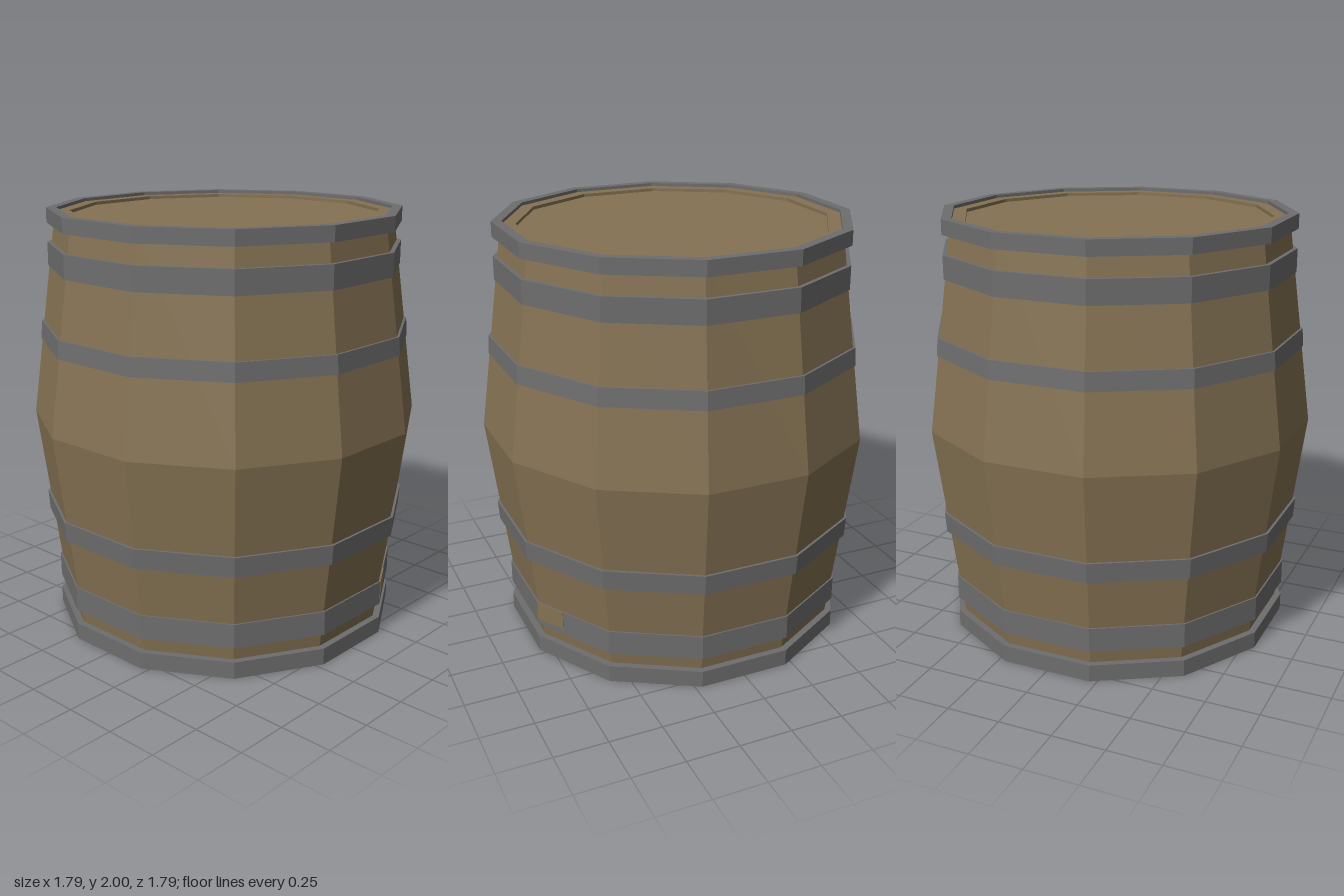
import * as THREE from 'three';

const SIDES = 12;
const STEP = (Math.PI * 2) / SIDES;
const TO_CORNER = 1 / Math.cos(STEP / 2); // flat-to-flat radius -> corner radius

// Faceted 12-sided solid from [radius, height] profile points, flats facing the axes
function faceted(profile) {
  const points = profile.map(([r, y]) => new THREE.Vector2(r * TO_CORNER, y));
  const geometry = new THREE.LatheGeometry(points, SIDES, STEP / 2).toNonIndexed();
  geometry.computeVertexNormals();
  return geometry;
}

export function createModel() {
  const model = new THREE.Group();
  model.name = 'barrel';
  const wood = new THREE.MeshStandardMaterial({ color: 0x857253 });
  wood.name = 'wood';
  const iron = new THREE.MeshStandardMaterial({ color: 0x6e6e6e });
  iron.name = 'iron';

  const add = (name, geometry, material) => {
    const mesh = new THREE.Mesh(geometry, material);
    mesh.name = name;
    model.add(mesh);
    return mesh;
  };

  // Bulging staves with a slightly sunken lid at each end
  add('staves', faceted([
    [0, 0.03], [0.7, 0.03], [0.7, 0.015], [0.767, 0.015],
    [0.893, 1.02],
    [0.767, 1.985], [0.7, 1.985], [0.7, 1.97], [0, 1.97],
  ]), wood);

  // Iron hoops: name, bottom, top, outer radius at bottom and at top, inner radius
  const hoops = [
    ['bottomRim', 0, 0.08, 0.806, 0.806, 0.76],
    ['lowerHoop', 0.15, 0.265, 0.806, 0.806, 0.765],
    ['lowerMiddleHoop', 0.51, 0.605, 0.846, 0.853, 0.81],
    ['upperMiddleHoop', 1.38, 1.465, 0.852, 0.846, 0.81],
    ['upperHoop', 1.73, 1.84, 0.806, 0.806, 0.765],
    ['topRim', 1.93, 2, 0.806, 0.806, 0.76],
  ];
  for (const [name, y0, y1, r0, r1, inner] of hoops) {
    add(name, faceted([[inner, y0], [r0, y0], [r1, y1], [inner, y1], [inner, y0]]), iron);
  }

  // Small wooden patch showing through the lower hoop
  const width = 0.16;
  const half = 0.806 * Math.tan(STEP / 2);
  const patch = add('woodPatch', new THREE.BoxGeometry(width, 0.09, 0.004), wood);
  const facing = Math.PI / 2 + STEP;
  const along = width / 2 - half;
  patch.rotation.y = facing;
  patch.position.set(
    Math.sin(facing) * 0.806 + Math.cos(facing) * along,
    0.22,
    Math.cos(facing) * 0.806 - Math.sin(facing) * along,
  );
  return model;
}
